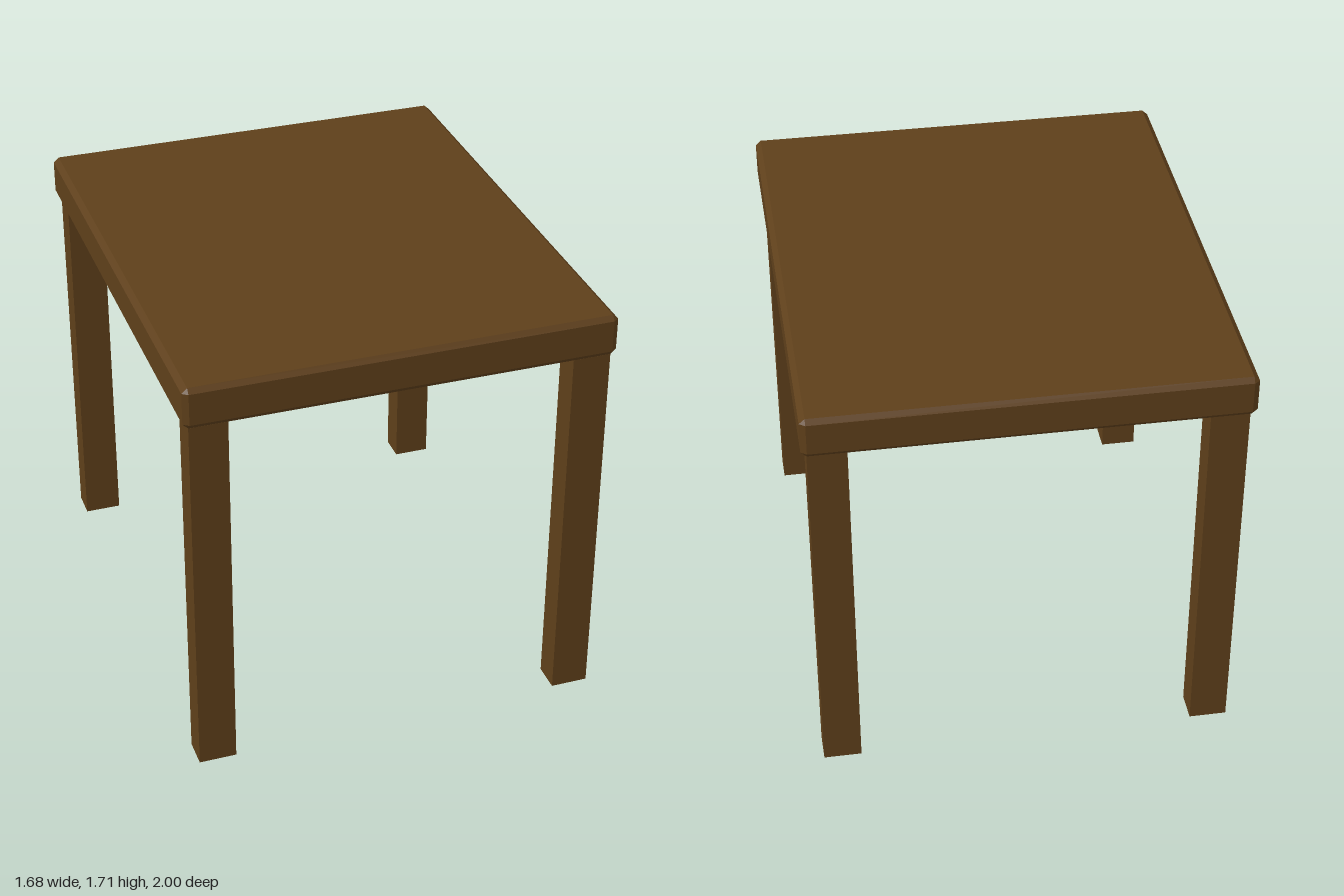
import * as THREE from 'three';
import { ConvexGeometry } from 'three/addons/geometries/ConvexGeometry.js';

// Box with every edge and corner cut flat; bx, by, bz are the insets per axis
function chamferedBox(w, h, d, bx, by, bz) {
  const points = [];
  for (const sx of [-1, 1]) for (const sy of [-1, 1]) for (const sz of [-1, 1]) {
    const x = w / 2, y = h / 2, z = d / 2;
    points.push(
      new THREE.Vector3(sx * x, sy * (y - by), sz * (z - bz)),
      new THREE.Vector3(sx * (x - bx), sy * y, sz * (z - bz)),
      new THREE.Vector3(sx * (x - bx), sy * (y - by), sz * z)
    );
  }
  return new ConvexGeometry(points);
}

export function createModel() {
  const table = new THREE.Group();
  table.name = 'table';
  const wood = new THREE.MeshStandardMaterial({ color: 0x5e3f1a, flatShading: true });

  const topHeight = 0.168, legHeight = 1.54;

  // Thick top with chamfered edges
  const top = new THREE.Mesh(chamferedBox(1.684, topHeight, 2, 0.022, 0.02, 0.016), wood);
  top.name = 'tableTop';
  top.position.y = legHeight + topHeight / 2;
  table.add(top);

  // Four square-cut legs; the back pair sits slightly further in
  const legGeometry = new THREE.BoxGeometry(0.149, legHeight, 0.117);
  for (const [end, z] of [['front', 0.926], ['back', -0.908]]) {
    for (const [side, x] of [['Left', 0.746], ['Right', -0.747]]) {
      const leg = new THREE.Mesh(legGeometry, wood);
      leg.name = `${end}${side}Leg`;
      leg.position.set(x, legHeight / 2, z);
      table.add(leg);
    }
  }

  return table;
}
